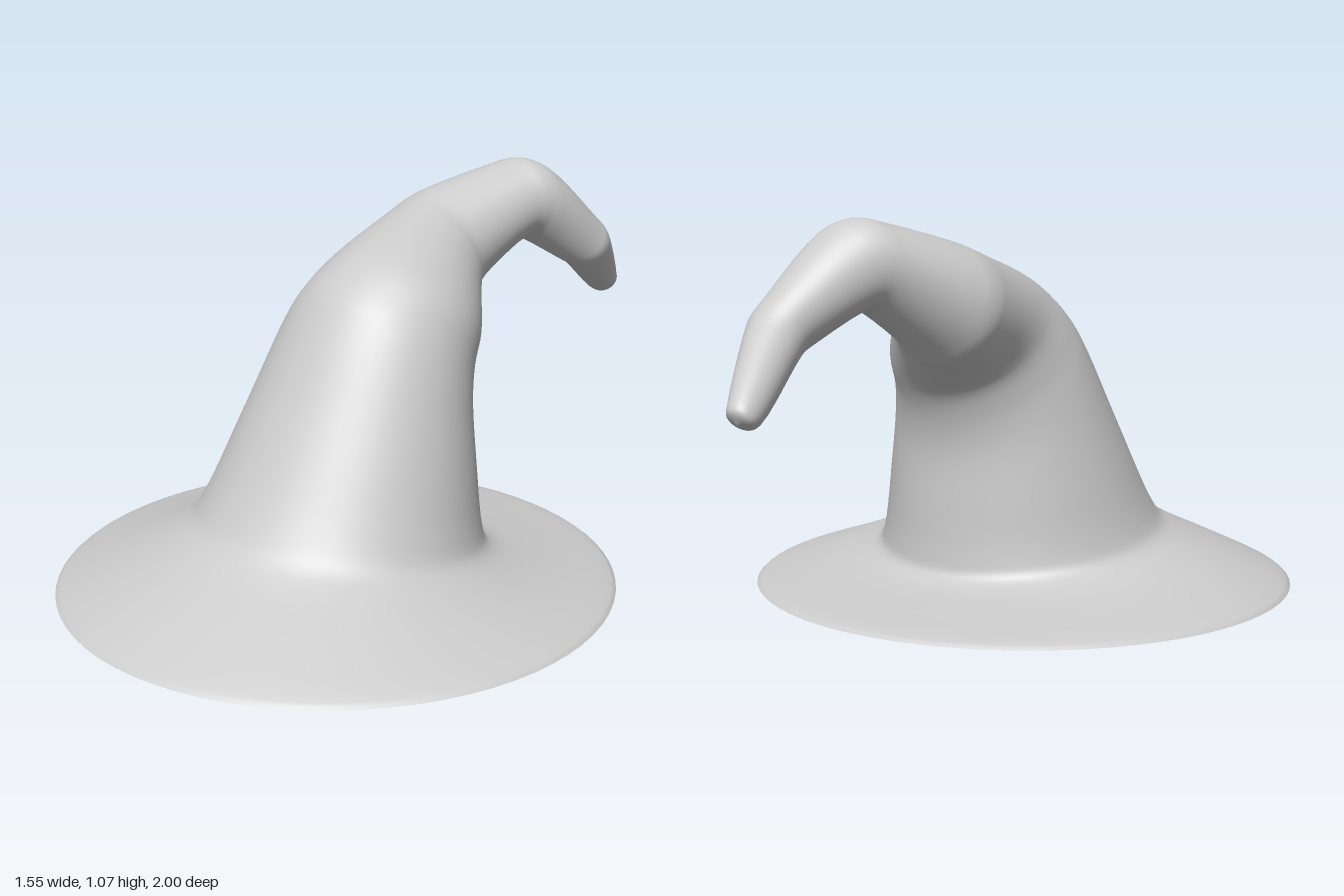
import * as THREE from 'three';

// Cross-sections from rim to tip:
// [front z, front y, back z, back y, centre x, half width]
const RINGS = [
  // brim
  [1.0, 0.0, -0.55, 0.0, 0, 0.775],
  [0.985, 0.012, -0.535, 0.01, 0, 0.762],
  [0.84, 0.085, -0.39, 0.032, 0, 0.62],
  [0.68, 0.16, -0.23, 0.06, 0, 0.475],
  // crease and cone
  [0.62, 0.2, -0.19, 0.085, 0, 0.417],
  [0.58, 0.25, -0.18, 0.13, 0, 0.392],
  [0.42, 0.515, -0.17, 0.27, 0, 0.338],
  [0.26, 0.78, -0.165, 0.42, 0, 0.285],
  // backward bend
  [0.2, 0.84, -0.185, 0.52, 0, 0.262],
  [0.1, 0.9, -0.22, 0.59, -0.005, 0.24],
  // sideways kink
  [-0.17, 0.972, -0.31, 0.668, -0.077, 0.182],
  [-0.22, 0.985, -0.34, 0.69, -0.09, 0.171],
  [-0.28, 1.005, -0.37, 0.72, -0.085, 0.163],
  // highest fold
  [-0.48, 1.06, -0.5, 0.825, -0.02, 0.125],
  [-0.53, 1.07, -0.53, 0.835, 0, 0.12],
  [-0.585, 1.05, -0.56, 0.82, 0.02, 0.114],
  // second kink
  [-0.76, 0.885, -0.66, 0.753, 0.072, 0.086],
  [-0.79, 0.855, -0.69, 0.735, 0.08, 0.082],
  [-0.82, 0.825, -0.72, 0.715, 0.074, 0.077],
  // rounded tip
  [-0.985, 0.665, -0.92, 0.596, 0, 0.045],
  [-0.998, 0.64, -0.95, 0.59, -0.004, 0.035],
  [-0.984, 0.607, -0.984, 0.607, -0.005, 0],
];

// Skin the rings with one smooth curve per column
function loft(rings, sides, steps) {
  const rows = (rings.length - 1) * steps;
  const positions = [];
  const index = [];
  for (let s = 0; s < sides; s++) {
    const a = (s / sides) * Math.PI * 2;
    const c = (1 + Math.cos(a)) / 2;
    const curve = new THREE.CatmullRomCurve3(rings.map(([fz, fy, bz, by, x, w]) =>
      new THREE.Vector3(x + w * Math.sin(a), by + (fy - by) * c, bz + (fz - bz) * c)));
    for (let r = 0; r <= rows; r++) {
      const p = curve.getPoint(r / rows);
      positions.push(p.x, Math.max(p.y, 0), p.z);
      if (r === rows) continue;
      const i = s * (rows + 1) + r;
      const j = ((s + 1) % sides) * (rows + 1) + r;
      index.push(i, j, j + 1);
      if (r < rows - 1) index.push(i, j + 1, i + 1);
    }
  }
  const geometry = new THREE.BufferGeometry();
  geometry.setAttribute('position', new THREE.Float32BufferAttribute(positions, 3));
  geometry.setIndex(index);
  geometry.computeVertexNormals();
  return geometry;
}

export function createModel() {
  const group = new THREE.Group();
  group.name = 'pointedHat';
  // Brim and crooked cone are one continuous hollow skin, open underneath
  const material = new THREE.MeshStandardMaterial({ color: 0xcccccc, side: THREE.DoubleSide });
  const hat = new THREE.Mesh(loft(RINGS, 72, 5), material);
  hat.name = 'brimAndCrookedCone';
  group.add(hat);
  return group;
}
